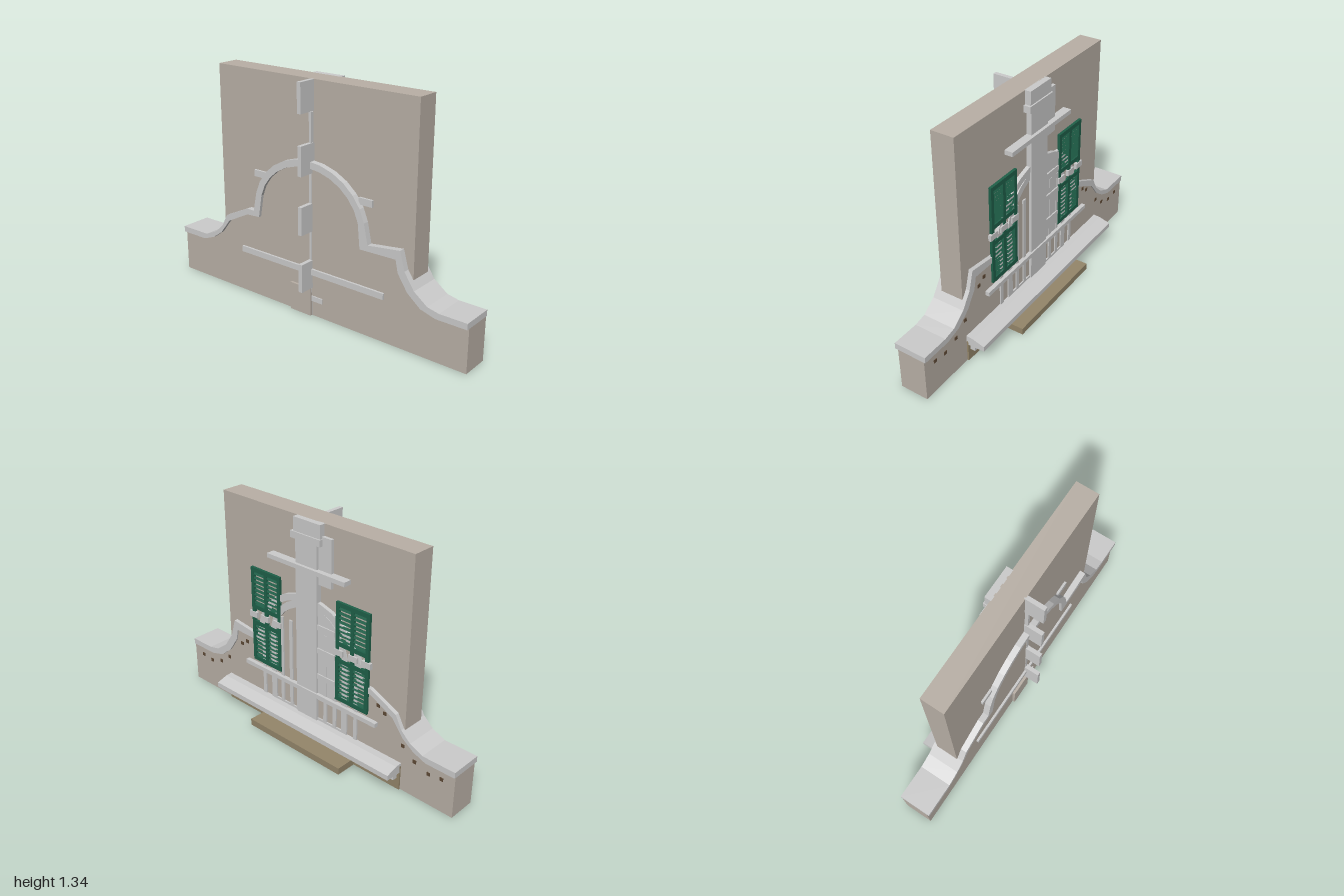
import * as THREE from 'three';

const mat = (color) => new THREE.MeshStandardMaterial({ color });
const STONE = mat(0xb9b0a6), GREY = mat(0xcccccc), GREEN = mat(0x1f6049);
const BROWN = mat(0x94866a), STUD = mat(0x5e4a36);

// Box given by its low and high corner on each axis
function box(parent, name, m, x0, x1, y0, y1, z0, z1) {
  const mesh = new THREE.Mesh(new THREE.BoxGeometry(x1 - x0, y1 - y0, z1 - z0), m);
  mesh.position.set((x0 + x1) / 2, (y0 + y1) / 2, (z0 + z1) / 2);
  mesh.name = name;
  parent.add(mesh);
  return mesh;
}

// Outline in the xy plane, extruded between two depths
function slab(parent, name, m, pts, z0, z1) {
  const shape = new THREE.Shape(pts.map(([x, y]) => new THREE.Vector2(x, y)));
  const geo = new THREE.ExtrudeGeometry(shape, { depth: z1 - z0, bevelEnabled: false });
  geo.translate(0, 0, z0);
  const mesh = new THREE.Mesh(geo, m);
  mesh.name = name;
  parent.add(mesh);
  return mesh;
}

// Louvred shutter: frame, middle rail, two columns of tilted slats
function shutter(side) {
  const g = new THREE.Group();
  g.name = side > 0 ? 'leftShutter' : 'rightShutter';
  const z0 = -0.073, z1 = -0.057, y0 = 0.366, y1 = 0.953;
  for (const x of [0.207, 0.309, 0.411]) box(g, 'shutterStile', GREEN, x, x + 0.022, y0, y1, z0, z1);
  for (const y of [y0, 0.60, 0.70, y1 - 0.025])
    box(g, 'shutterRail', GREEN, 0.207, 0.433, y, y + 0.025, z0, z1);
  for (const [from, to] of [[0.39, 0.60], [0.725, 0.928]]) {
    const n = 8, step = (to - from) / n;
    for (let i = 0; i < n; i++) for (const x of [0.229, 0.331]) {
      const y = from + (i + 0.5) * step;
      const s = box(g, 'shutterSlat', GREEN, x, x + 0.08, y - 0.007, y + 0.007, -0.07, -0.06);
      s.rotation.x = 0.5;
    }
  }
  for (const x of [0.20, 0.30, 0.39]) box(g, 'shutterStrap', GREY, x, x + 0.06, 0.645, 0.68, -0.078, -0.06);
  if (side < 0) g.traverse((o) => { if (o.isMesh) o.position.x *= -1; });
  return g;
}

export function createModel() {
  const root = new THREE.Group();
  root.name = 'gabledFacade';

  // Tall wall
  box(root, 'wall', STONE, -0.667, 0.663, 0.365, 1.335, -0.045, 0.088);

  // Gable outline, with the arch generated and the shoulders listed
  const arch = (rx, top) => {
    const pts = [];
    for (let i = 1; i < 14; i++) {
      const a = Math.PI * (1 - i / 14);
      pts.push([rx * Math.cos(a), 0.57 + (top - 0.57) * Math.sin(a)]);
    }
    return pts;
  };
  const inner = [
    [-1, 0.25], [-0.82, 0.25], [-0.74, 0.28], [-0.67, 0.33], [-0.6, 0.42], [-0.45, 0.495], [-0.36, 0.5],
    ...arch(0.345, 0.865),
    [0.35, 0.495], [0.575, 0.5], [0.59, 0.43], [0.65, 0.34], [0.73, 0.275], [0.82, 0.25], [1, 0.25],
  ];
  const outer = [
    [-1, 0.285], [-0.8, 0.285], [-0.72, 0.32], [-0.66, 0.375], [-0.62, 0.45], [-0.45, 0.53], [-0.4, 0.53],
    ...arch(0.385, 0.903),
    [0.4, 0.53], [0.6, 0.555], [0.63, 0.45], [0.69, 0.36], [0.77, 0.3], [0.84, 0.285], [1, 0.285],
  ];
  slab(root, 'gable', STONE, [[-1, 0], [1, 0], ...[...inner].reverse()], -0.06, 0.105);
  slab(root, 'coping', GREY, [...inner, ...[...outer].reverse()], -0.068, 0.123);

  // Front: fins, spine, ledge, brackets and foot panel
  for (const [y0, y1] of [[0.17, 0.335], [0.505, 0.665], [0.835, 1.0], [1.17, 1.335]])
    box(root, 'frontFin', GREY, -0.004, 0.02, y0, y1, 0.08, 0.196);
  box(root, 'frontSpine', GREY, 0, 0.016, 0, 1.165, 0.08, 0.108);
  box(root, 'frontLedge', GREY, -0.505, 0.5, 0.25, 0.285, 0.1, 0.118);
  for (const s of [-1, 1])
    box(root, 'frontBracket', GREY, s * 0.365 - 0.042, s * 0.365 + 0.042, 0.73, 0.768, 0.08, 0.101);
  box(root, 'footPanel', STONE, -0.13, 0.015, 0, 0.165, 0.1, 0.12);
  box(root, 'footLatch', GREY, 0.015, 0.09, 0.09, 0.12, 0.1, 0.112);

  // Rear central pilaster with caps and side plates
  const pilaster = new THREE.Group();
  pilaster.name = 'pilaster';
  root.add(pilaster);
  box(pilaster, 'pilasterShaft', GREY, -0.075, 0.078, 0.15, 1.25, -0.076, -0.04);
  box(pilaster, 'pilasterHead', GREY, -0.1, 0.09, 1.255, 1.335, -0.078, -0.04);
  box(pilaster, 'pilasterCap', GREY, -0.105, 0.105, 1.22, 1.258, -0.086, -0.04);
  box(pilaster, 'crossBeam', GREY, -0.28, 0.275, 1.06, 1.085, -0.094, -0.04);
  box(pilaster, 'upperPlate', GREY, -0.165, 0, 1.0, 1.27, -0.064, -0.04);
  box(pilaster, 'lowerPlate', GREY, -0.21, 0, 0.3, 0.86, -0.066, -0.05);
  for (const y of [0.44, 0.6, 0.74])
    box(pilaster, 'plateStrap', GREY, -0.2, -0.07, y, y + 0.03, -0.074, -0.06);

  // Arched window frame behind the shutters
  const frame = new THREE.Shape();
  frame.moveTo(-0.29, 0.16);
  frame.lineTo(-0.29, 0.58);
  frame.absarc(0, 0.58, 0.29, Math.PI, 0, true);
  frame.lineTo(0.29, 0.16);
  const hole = new THREE.Path();
  hole.moveTo(-0.25, 0.18);
  hole.lineTo(0.25, 0.18);
  hole.lineTo(0.25, 0.58);
  hole.absarc(0, 0.58, 0.25, 0, Math.PI, false);
  frame.holes.push(hole);
  const frameGeo = new THREE.ExtrudeGeometry(frame, { depth: 0.02, bevelEnabled: false, curveSegments: 8 });
  frameGeo.translate(0, 0, -0.068);
  const frameMesh = new THREE.Mesh(frameGeo, GREY);
  frameMesh.name = 'windowFrame';
  root.add(frameMesh);
  for (const s of [-1, 1]) for (const x of [0.13, 0.2, 0.35])
    box(root, 'mullion', GREY, s * x - 0.012, s * x + 0.012, 0.16, x > 0.3 ? 0.5 : 0.72, -0.068, -0.05);
  root.add(shutter(1), shutter(-1));

  // Rear rail and sloped sill
  box(root, 'rearRail', GREY, -0.5, 0.49, 0.32, 0.345, -0.085, -0.05);
  const sill = slab(root, 'sill', GREY,
    [[-0.17, 0.115], [-0.05, 0.11], [-0.05, 0.168], [-0.1, 0.165], [-0.17, 0.145]], -0.665, 0.665);
  sill.rotation.y = -Math.PI / 2;

  // Corbels under the sill
  for (const s of [-1, 1]) for (let i = 0; i < 5; i++) {
    const x = s * (0.39 + i * 0.06);
    box(root, 'corbel', GREY, x - 0.019, x + 0.019, 0.07, 0.115, -0.1, -0.055);
  }

  // Brown skirting and hollow step
  box(root, 'skirting', BROWN, -0.665, 0.665, 0, 0.15, -0.07, -0.05);
  box(root, 'stepTop', BROWN, -0.35, 0.345, 0.025, 0.04, -0.195, -0.06);
  box(root, 'stepFront', BROWN, -0.35, 0.345, 0, 0.03, -0.195, -0.175);
  for (const x of [-0.35, -0.125, 0.105, 0.325])
    box(root, 'stepDivider', BROWN, x, x + 0.02, 0, 0.03, -0.18, -0.06);

  // Small square studs following the rear shoulders
  const studs = [[0.92, 0.2], [0.84, 0.19], [0.75, 0.22], [0.67, 0.28], [0.545, 0.42], [0.5, 0.45]];
  for (const s of [-1, 1]) for (const [x, y] of studs)
    box(root, 'stud', STUD, s * x - 0.01, s * x + 0.01, y - 0.01, y + 0.01, -0.064, -0.055);
  return root;
}
